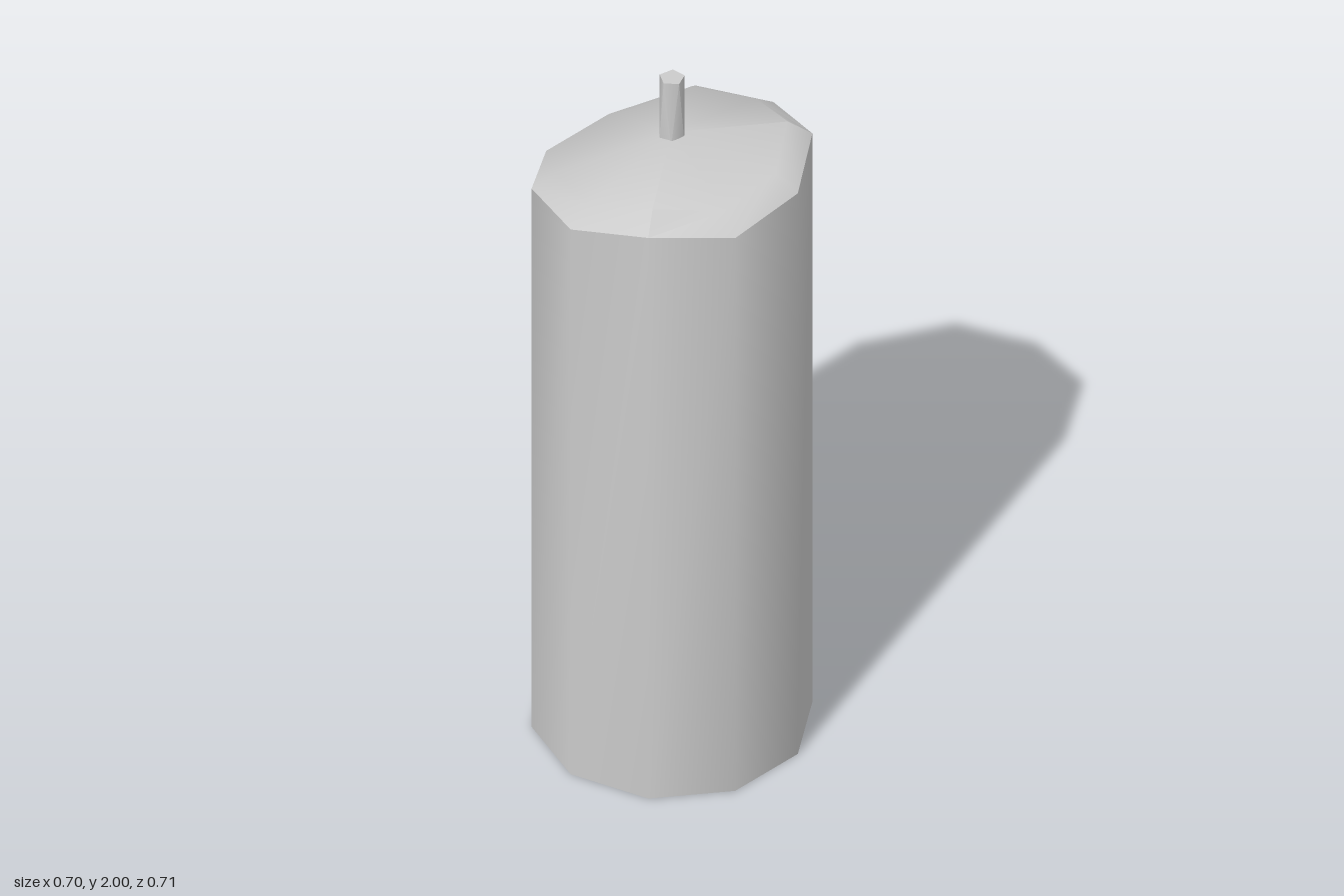
import * as THREE from 'three';
import { toCreasedNormals } from 'three/addons/utils/BufferGeometryUtils.js';

const SIDES = 10;
// Uneven melted rim height at each corner, clockwise from the back
const RIM = [1.735, 1.785, 1.76, 1.735, 1.76, 1.71, 1.69, 1.645, 1.645, 1.71];

function ringPoint(radius, y, i) {
  const a = THREE.MathUtils.degToRad(6.4 + 36 * i);
  return [radius * Math.sin(a), y, -radius * Math.cos(a)];
}

// Wax body: flat base, straight wall, bevelled uneven rim, sloping top
function waxGeometry() {
  const rings = [
    () => [0, 0, 0],
    i => ringPoint(0.356, 0, i),
    i => ringPoint(0.356, RIM[i], i),
    i => ringPoint(0.294, RIM[i] + 0.044, i),
    () => [0, 1.828, 0],
  ];
  const pos = [];
  for (let r = 0; r < rings.length - 1; r++) {
    for (let i = 0; i < SIDES; i++) {
      const j = (i + 1) % SIDES;
      const low = rings[r], high = rings[r + 1];
      if (r > 0) pos.push(...low(j), ...low(i), ...high(i));
      if (r < rings.length - 2) pos.push(...low(j), ...high(i), ...high(j));
    }
  }
  const geo = new THREE.BufferGeometry();
  geo.setAttribute('position', new THREE.Float32BufferAttribute(pos, 3));
  return toCreasedNormals(geo, 0.66);
}

// Wick: a five-sided stick twisted by half a side
function wickGeometry() {
  const height = 0.19;
  const geo = new THREE.CylinderGeometry(0.033, 0.033, height, 5);
  const p = geo.attributes.position;
  const v = new THREE.Vector3();
  const up = new THREE.Vector3(0, 1, 0);
  for (let i = 0; i < p.count; i++) {
    v.fromBufferAttribute(p, i);
    if (v.y < 0) v.applyAxisAngle(up, Math.PI / 5);
    p.setXYZ(i, v.x, v.y, v.z);
  }
  geo.translate(0, 2 - height / 2, 0);
  return toCreasedNormals(geo, 0.8);
}

export function createModel() {
  const group = new THREE.Group();
  group.name = 'candle';
  const material = new THREE.MeshStandardMaterial({ color: 0xcccccc });
  const add = (name, geo) => {
    const mesh = new THREE.Mesh(geo, material);
    mesh.name = name;
    group.add(mesh);
  };
  add('waxBody', waxGeometry());
  add('wick', wickGeometry());
  return group;
}
